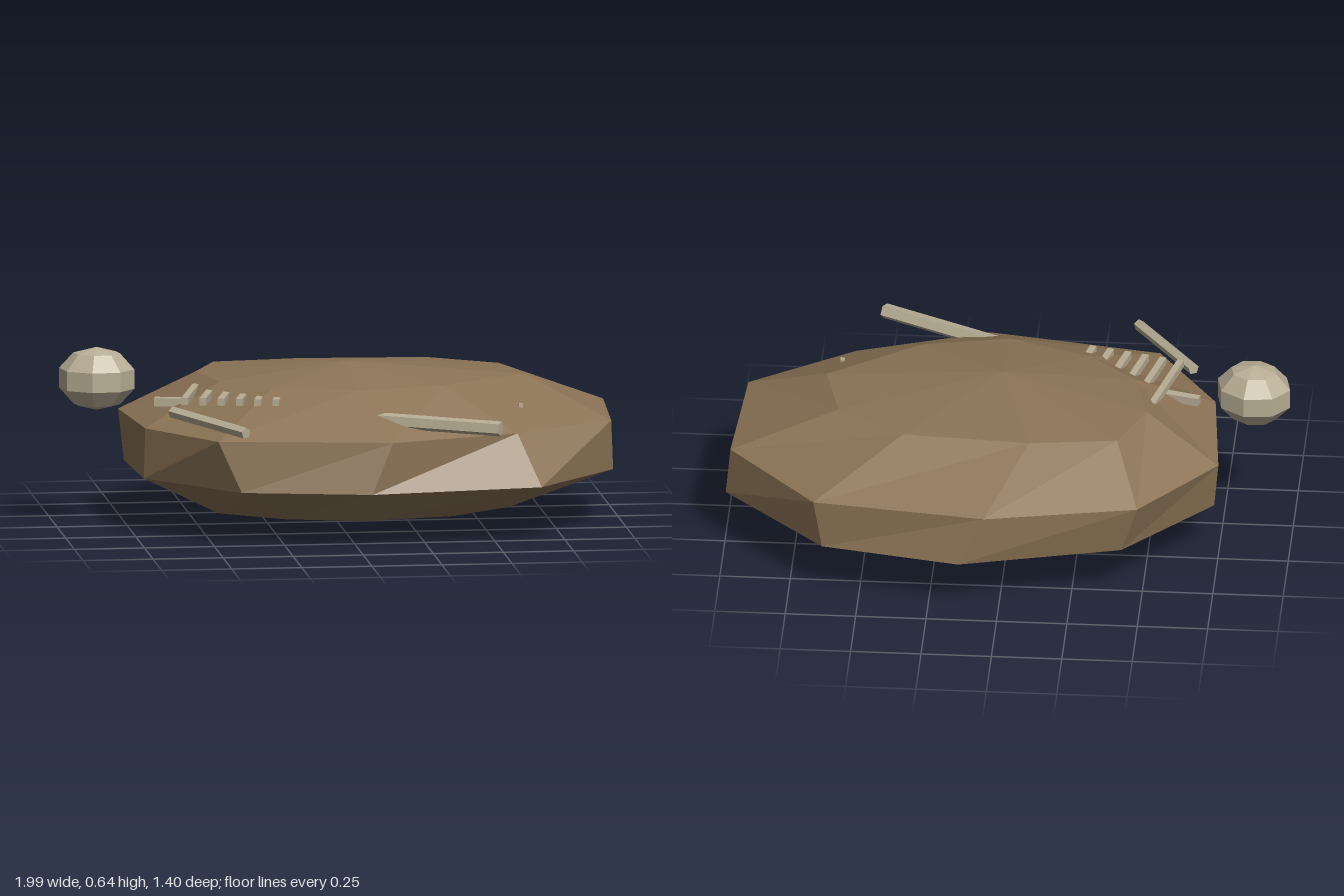
import * as THREE from 'three';

export function createModel() {
  const group = new THREE.Group();
  const earth = new THREE.MeshStandardMaterial({ color: 0x8b7355, flatShading: true });
  earth.name = 'earth brown';
  const bone = new THREE.MeshStandardMaterial({ color: 0xb8ad94, flatShading: true });
  bone.name = 'old bone';

  const add = (name, geometry, material, parent = group) => {
    const mesh = new THREE.Mesh(geometry, material);
    mesh.name = name;
    parent.add(mesh);
    return mesh;
  };

  // Uneven mound: four rings of ten [x, z] points between two poles
  const rings = [
    [0.06, [[0.38, 0.3], [0.6, 0.12], [0.665, -0.14], [0.42, -0.35], [0.05, -0.41],
      [-0.3, -0.35], [-0.48, -0.13], [-0.44, 0.14], [-0.22, 0.3], [0.05, 0.375]]],
    [0.2, [[0.66, 0.565], [0.96, 0.195], [0.997, -0.25], [0.63, -0.61], [0.14, -0.705],
      [-0.43, -0.56], [-0.735, -0.22], [-0.715, 0.2], [-0.41, 0.56], [0.045, 0.66]]],
    [0.38, [[0.585, 0.47], [0.95, 0.222], [0.98, -0.26], [0.66, -0.613], [0.05, -0.69],
      [-0.487, -0.583], [-0.752, -0.25], [-0.71, 0.2], [-0.49, 0.53], [0.12, 0.635]]],
    [0.525, [[0.34, 0.28], [0.66, 0.05], [0.6, -0.2], [0.36, -0.36], [-0.09, -0.39],
      [-0.4, -0.35], [-0.49, -0.14], [-0.43, 0.09], [-0.26, 0.24], [0.03, 0.345]]],
  ];
  const bottom = [0.12, 0, -0.01], top = [0.03, 0.58, 0.015];
  const point = (r, i) => {
    const [x, z] = rings[r][1][i % 10];
    return [x, rings[r][0], z];
  };
  const corners = [];
  for (let i = 0; i < 10; i++) {
    corners.push(bottom, point(0, i + 1), point(0, i));
    for (let r = 0; r < 3; r++) {
      corners.push(point(r, i), point(r, i + 1), point(r + 1, i + 1));
      corners.push(point(r, i), point(r + 1, i + 1), point(r + 1, i));
    }
    corners.push(point(3, i), point(3, i + 1), top);
  }
  const moundGeometry = new THREE.BufferGeometry();
  moundGeometry.setAttribute('position', new THREE.Float32BufferAttribute(corners.flat(), 3));
  moundGeometry.computeVertexNormals();
  add('mound', moundGeometry, earth);

  // Faceted skull beside the mound
  const skull = add('skull', new THREE.SphereGeometry(1, 8, 5), bone);
  skull.scale.set(0.142, 0.113, 0.122);
  skull.position.set(-0.86, 0.532, 0.01);
  skull.rotation.y = -0.25;

  // Half-buried rib cage: spine along local x, ribs across it
  const ribCage = new THREE.Group();
  ribCage.name = 'ribCage';
  ribCage.position.set(-0.54, 0, 0.125);
  ribCage.rotation.y = -0.25;
  group.add(ribCage);
  add('spine', new THREE.BoxGeometry(0.55, 0.03, 0.03), bone, ribCage).position.set(0.145, 0.455, -0.02);
  for (let i = 0; i < 6; i++) {
    add('rib', new THREE.BoxGeometry(0.024, 0.026, 0.32), bone, ribCage).position.set(i * 0.065, 0.487, 0);
  }

  // Long bones poking out of the front slope
  const longBone = (name, from, to, radius) => {
    const a = new THREE.Vector3(...from), b = new THREE.Vector3(...to);
    const mesh = add(name, new THREE.CylinderGeometry(radius, radius, a.distanceTo(b), 5), bone);
    mesh.position.copy(a).add(b).multiplyScalar(0.5);
    mesh.quaternion.setFromUnitVectors(new THREE.Vector3(0, 1, 0), b.sub(a).normalize());
  };
  longBone('rightLegBone', [-0.625, 0.453, 0.3], [-0.405, 0.428, 0.645], 0.021);
  longBone('leftLegBone', [0.02, 0.438, 0.425], [0.5, 0.43, 0.675], 0.028);

  // Tip of a buried fragment
  add('boneChip', new THREE.BoxGeometry(0.015, 0.03, 0.015), bone).position.set(0.62, 0.442, 0.28);

  return group;
}
